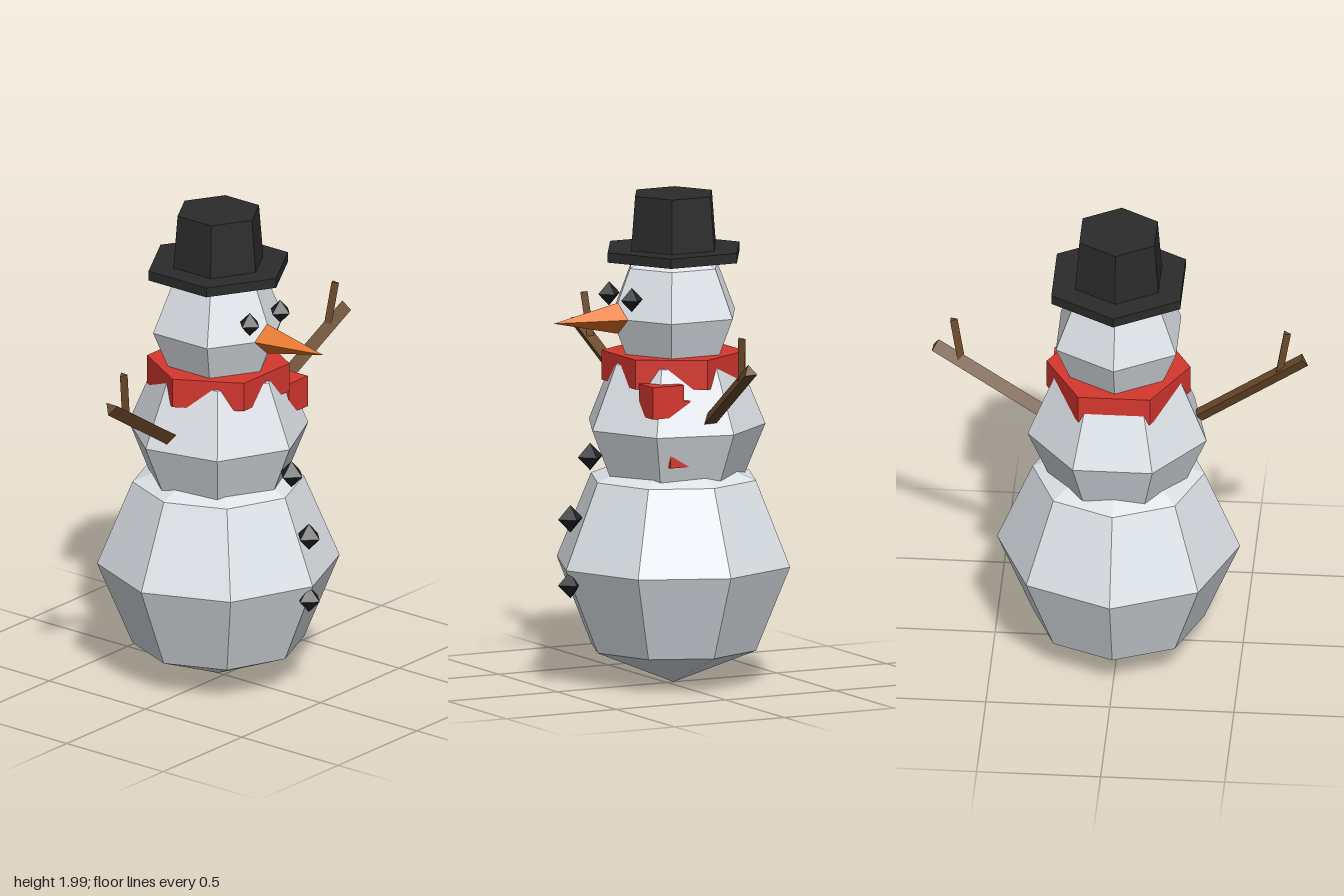
import * as THREE from 'three';

const CX = -0.03; // body axis

function material(name, color) {
  const m = new THREE.MeshStandardMaterial({ color });
  m.name = name;
  return m;
}

export function createModel() {
  const group = new THREE.Group();
  const snow = material('snow', 0xdfe4e9);
  const felt = material('hatBlack', 0x2b2b2b);
  const coal = material('coal', 0x222325);
  const carrot = material('carrotOrange', 0xe67520);
  const wool = material('scarfRed', 0xd6372f);
  const wood = material('wood', 0x6b4a2a);

  // Adds a faceted part
  function add(name, geometry, mat, x, y, z, parent = group) {
    const flat = geometry.index ? geometry.toNonIndexed() : geometry;
    flat.computeVertexNormals();
    const mesh = new THREE.Mesh(flat, mat);
    mesh.name = name;
    mesh.position.set(x, y, z);
    parent.add(mesh);
    return mesh;
  }
  const ball = (r, sides) => new THREE.SphereGeometry(r, sides, 4, Math.PI);
  const prism = (top, bottom, h, sides, start = 0) =>
    new THREE.CylinderGeometry(top, bottom, h, sides, 1, false, start);

  // Snowballs
  add('lowerBody', ball(0.49, 8), snow, CX, 0.5, 0);
  add('upperBody', ball(0.37, 7), snow, CX, 1.06, 0);
  add('head', ball(0.28, 6), snow, CX, 1.51, 0);

  // Hat
  add('hatBrim', prism(0.3, 0.3, 0.04, 6, Math.PI / 2), felt, CX, 1.76, 0);
  add('hatCrown', prism(0.175, 0.195, 0.24, 6, Math.PI / 2), felt, CX, 1.88, 0);

  // Scarf with its knot and hanging tail
  add('scarf', prism(0.29, 0.29, 0.12, 6), wool, CX, 1.3, 0);
  add('scarfKnot', new THREE.BoxGeometry(0.14, 0.13, 0.12), wool, 0.14, 1.2, -0.215);
  add('scarfTail', new THREE.BoxGeometry(0.09, 0.27, 0.075), wool, 0.085, 1.065, -0.2375);

  // Carrot nose
  const nose = add('nose', new THREE.ConeGeometry(0.066, 0.305, 4), carrot, 0.363, 1.51, 0);
  nose.rotation.z = -Math.PI / 2;

  // Coal eyes and buttons
  for (const s of [1, -1]) {
    add(s > 0 ? 'rightEye' : 'leftEye', new THREE.OctahedronGeometry(0.049), coal, 0.212, 1.597, s * 0.097);
  }
  for (const [x, y] of [[0.35, 0.957], [0.44, 0.71], [0.44, 0.442]]) {
    add('button', new THREE.OctahedronGeometry(0.056), coal, x, y, 0);
  }

  // Three-sided stick arms, each with a twig
  for (const s of [1, -1]) {
    const arm = new THREE.Group();
    arm.name = s > 0 ? 'rightArm' : 'leftArm';
    group.add(arm);
    const branch = add('branch', prism(0.031, 0.031, 0.5, 3), wood, -0.002, 1.252, s * 0.532, arm);
    branch.rotation.set(s * 1.02, 0, -0.085);
    const twig = add('twig', prism(0.019, 0.019, 0.19, 3), wood, 0.016, 1.413, s * 0.656, arm);
    twig.rotation.set(s * 0.17, 0, -0.08);
  }
  return group;
}
